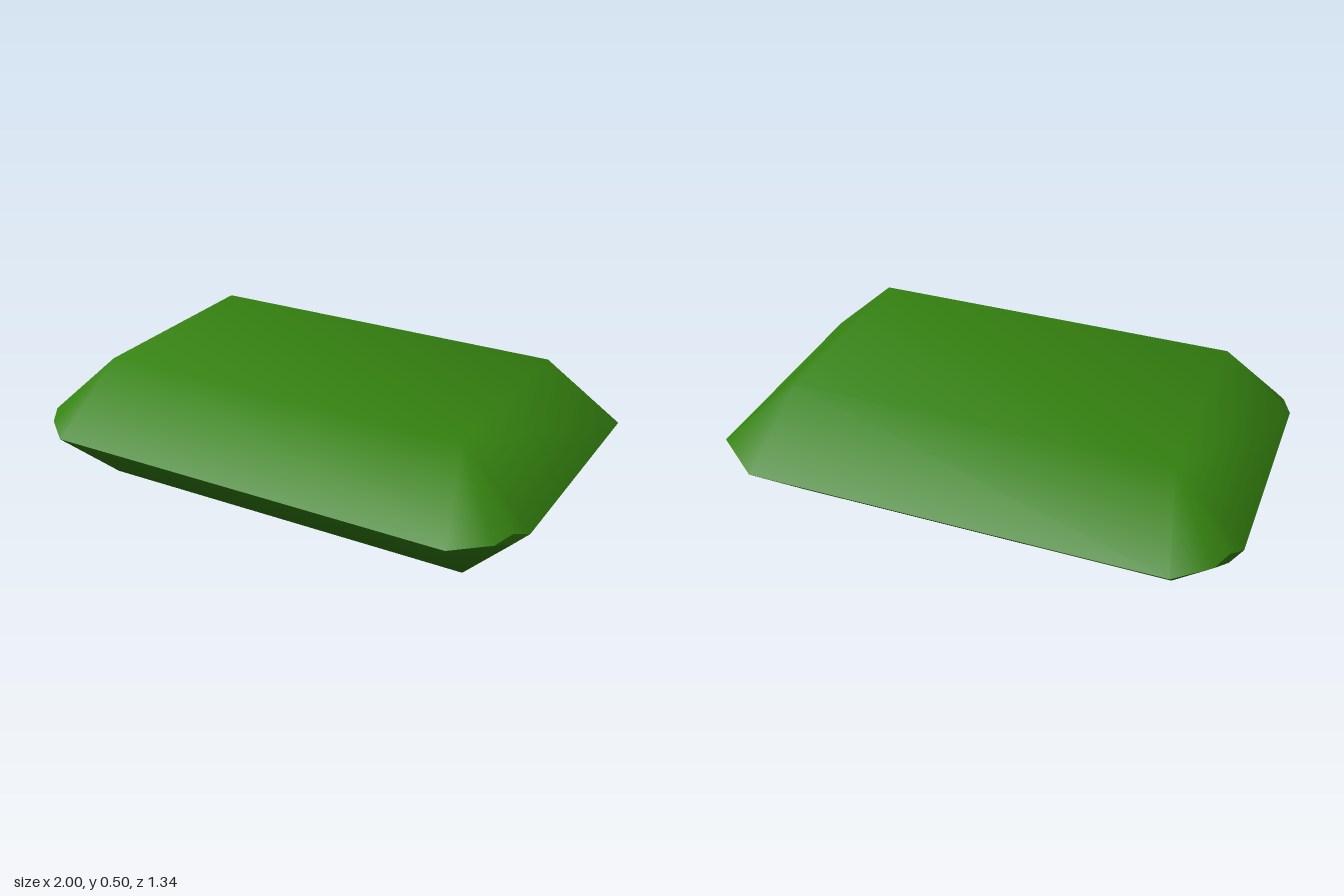
import * as THREE from 'three';

const MID = 0.25; // height of the girdle, the widest outline
const NICK = 0.02; // half height of the small corner facets

// Corners counter-clockwise from above; one stays sharp, three are nicked
const CORNERS = [
  { sx: 1, sz: 1, nicked: true },
  { sx: 1, sz: -1, nicked: false },
  { sx: -1, sz: -1, nicked: true },
  { sx: -1, sz: 1, nicked: true },
];

// Girdle points of one corner, in counter-clockwise order
function cornerPoints({ sx, sz, nicked }, side) {
  const profile = nicked
    ? [[0.8, 0, 0.672], [0.925, 0, 0.565], [0.962, NICK * side, 0.499], [1, 0, 0.44]]
    : [[0.8, 0, 0.672], [1, 0, 0.51]];
  const points = profile.map(([x, dy, z]) => [x * sx, MID + dy, z * sz]);
  return sx * sz > 0 ? points : points.reverse();
}

function indexed(points, index) {
  const geometry = new THREE.BufferGeometry();
  geometry.setAttribute('position', new THREE.Float32BufferAttribute(points.flat(), 3));
  geometry.setIndex(index);
  geometry.computeVertexNormals();
  return geometry;
}

// One half of the gem: a flat table, four sloping sides and corner facets
function halfGeometry(side, tableX, tableZ) {
  const points = CORNERS.map(({ sx, sz }) => [sx * tableX, MID + side * MID, sz * tableZ]);
  const index = [];
  const face = (a, b, c) => index.push(...(side > 0 ? [a, b, c] : [a, c, b]));
  const rings = CORNERS.map((corner) =>
    cornerPoints(corner, side).map((point) => points.push(point) - 1));

  rings.forEach((ring, k) => {
    const next = (k + 1) % 4;
    for (let i = 0; i < ring.length - 1; i++) face(k, ring[i], ring[i + 1]);
    face(k, ring[ring.length - 1], rings[next][0]);
    face(k, rings[next][0], next);
  });
  face(0, 1, 2);
  face(0, 2, 3);
  return indexed(points, index);
}

// Small diamond closing the gap between both halves at a nicked corner
function nickGeometry(corner) {
  const [, a, b, c] = corner.sx * corner.sz > 0
    ? cornerPoints(corner, -1)
    : [null, ...cornerPoints(corner, -1).slice(0, 3)];
  const top = [b[0], MID + NICK, b[2]];
  return indexed([a, b, c, top], [0, 1, 2, 0, 2, 3]);
}

export function createModel() {
  const green = new THREE.MeshStandardMaterial({ color: 0x358210 });
  green.name = 'gemGreen';
  const gem = new THREE.Group();
  gem.name = 'gem';
  const add = (name, geometry) => {
    const mesh = new THREE.Mesh(geometry, green);
    mesh.name = name;
    gem.add(mesh);
  };

  add('crown', halfGeometry(1, 0.73, 0.405));
  add('pavilion', halfGeometry(-1, 0.755, 0.405));
  CORNERS.filter((corner) => corner.nicked)
    .forEach((corner, i) => add(`cornerFacet${i + 1}`, nickGeometry(corner)));
  return gem;
}
